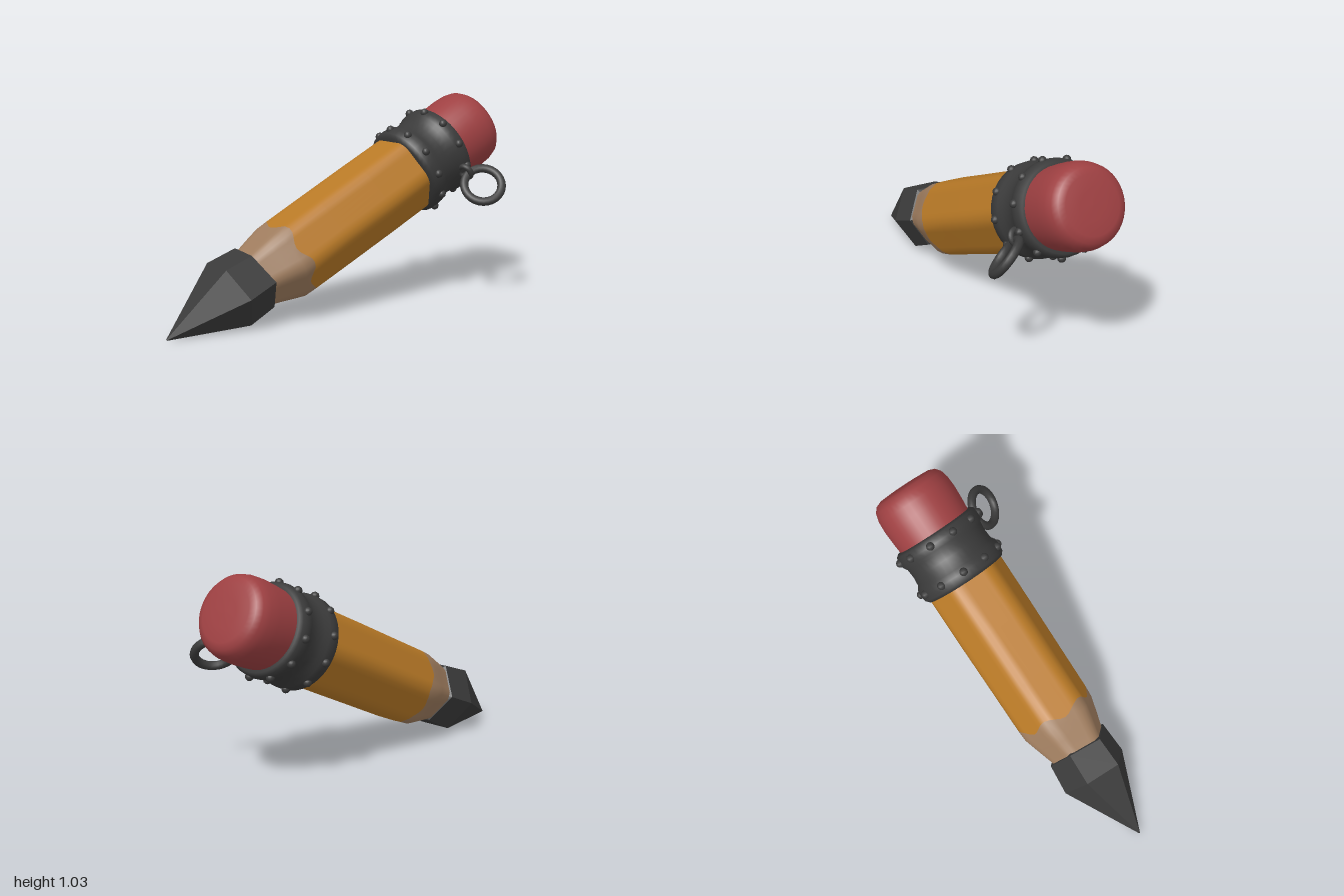
import * as THREE from 'three';

const mat = (name, color) => {
  const m = new THREE.MeshStandardMaterial({ color });
  m.name = name;
  return m;
};

// Skin closed rings: each ring(phi) returns [radius, height, xOffset, zOffset]
function loft(rings, segments, flat = false) {
  const pos = [], index = [];
  rings.forEach((ring) => {
    for (let j = 0; j < segments; j++) {
      const phi = (j / segments) * Math.PI * 2;
      const [r, y, ox = 0, oz = 0] = ring(phi);
      pos.push(ox + r * Math.sin(phi), y, oz + r * Math.cos(phi));
    }
  });
  for (let i = 0; i < rings.length - 1; i++) {
    for (let j = 0; j < segments; j++) {
      const k = (j + 1) % segments;
      const a = i * segments + j, b = i * segments + k;
      const c = b + segments, d = a + segments;
      index.push(a, b, d, c, d, b);
    }
  }
  let g = new THREE.BufferGeometry();
  g.setAttribute('position', new THREE.Float32BufferAttribute(pos, 3));
  g.setIndex(index);
  if (flat) g = g.toNonIndexed();
  g.computeVertexNormals();
  return g;
}

// Hexagon with softened corners, as a polar radius
function softHex(phi, apothem, cap) {
  const third = Math.PI / 3;
  const off = (phi % third) - third / 2;
  return Math.min(apothem / Math.cos(off), cap);
}

export function createModel() {
  const orange = mat('orange paint', 0xb87926);
  const woodTan = mat('bare wood', 0x9e7c5e);
  const charcoal = mat('charcoal', 0x3a3a3a);
  const red = mat('red rubber', 0x9e4042);

  const model = new THREE.Group();
  model.name = 'pencil';

  // Pencil group: local +y runs from the point to the eraser, local +x is underneath
  const pencil = new THREE.Group();
  pencil.name = 'pencilBody';
  const along = new THREE.Vector3(0.906, 0.423, -0.045).normalize();
  const under = new THREE.Vector3().crossVectors(along, new THREE.Vector3(0, 0, 1)).normalize();
  const side = new THREE.Vector3().crossVectors(under, along);
  pencil.quaternion.setFromRotationMatrix(new THREE.Matrix4().makeBasis(under, along, side));
  pencil.position.set(-0.165, 0.353, -0.037);
  model.add(pencil);

  const add = (parent, name, geometry, material) => {
    const m = new THREE.Mesh(geometry, material);
    m.name = name;
    parent.add(m);
    return m;
  };
  const hexRing = (apothem, y, ox = 0, oz = 0) =>
    (phi) => [softHex(phi, apothem, apothem * 1.09), y, ox, oz];

  // Faceted lead with a ragged rear lip
  const jag = (phi) => 0.014 * Math.cos(phi * 3 + 0.8);
  add(pencil, 'lead', loft([
    () => [0.003, -0.906, -0.033, 0.016],
    (p) => [0.184, -0.505 + jag(p) * 0.6, -0.025, -0.003],
    (p) => [0.172, -0.345 + jag(p), -0.018, 0],
    (p) => [0.13, -0.325 + jag(p), -0.015, 0],
  ], 6, true), charcoal);

  // Sharpened wood meeting the paint in a scalloped line
  const scallop = (phi) => -0.137 + 0.02 * Math.cos(phi * 6);
  const paintEdge = (phi) => [softHex(phi, 0.189, 0.205), scallop(phi)];
  add(pencil, 'sharpenedWood', loft([
    hexRing(0.137, -0.4, -0.018),
    hexRing(0.144, -0.34, -0.015),
    hexRing(0.168, -0.25, -0.007),
    hexRing(0.186, -0.18),
    paintEdge,
  ], 48), woodTan);

  // Painted six-sided shaft
  add(pencil, 'shaft', loft([
    paintEdge,
    hexRing(0.19, 0.1),
    hexRing(0.192, 0.4),
    hexRing(0.192, 0.72),
  ], 48), orange);

  // Ferrule with two raised bands
  const lathe = (points, n) =>
    new THREE.LatheGeometry(points.map(([r, y]) => new THREE.Vector2(r, y)), n);
  add(pencil, 'ferrule', lathe([
    [0.18, 0.672], [0.215, 0.672], [0.231, 0.69], [0.234, 0.725], [0.231, 0.755],
    [0.217, 0.775], [0.213, 0.82], [0.217, 0.865], [0.23, 0.885], [0.233, 0.915],
    [0.228, 0.945], [0.213, 0.957], [0.18, 0.957],
  ], 40), charcoal);

  // Studs around each band
  const studGeometry = new THREE.SphereGeometry(0.021, 10, 8);
  [0.725, 0.915].forEach((y, band) => {
    for (let i = 0; i < 11; i++) {
      const a = ((i + band * 0.5) / 11) * Math.PI * 2;
      add(pencil, 'stud', studGeometry, charcoal)
        .position.set(0.232 * Math.sin(a), y, 0.232 * Math.cos(a));
    }
  });

  // Rounded eraser
  add(pencil, 'eraser', lathe([
    [0.197, 0.93], [0.203, 1.0], [0.207, 1.08], [0.204, 1.14], [0.193, 1.182],
    [0.172, 1.208], [0.14, 1.22], [0.07, 1.224], [0, 1.225],
  ], 40), red);

  // Hanging ring and the small eye that holds it
  const zAxis = new THREE.Vector3(0, 0, 1);
  const hoop = (name, radius, tube, position, normal) => {
    const m = add(model, name, new THREE.TorusGeometry(radius, tube, 10, 28), charcoal);
    m.position.set(...position);
    m.quaternion.setFromUnitVectors(zAxis, new THREE.Vector3(...normal).normalize());
  };
  hoop('hangingRing', 0.096, 0.022, [0.735, 0.593, 0.232], [-0.45, 0.6, 0.65]);
  hoop('ringEye', 0.034, 0.015, [0.685, 0.655, 0.15], [0.8, 0.45, -0.2]);

  return model;
}
